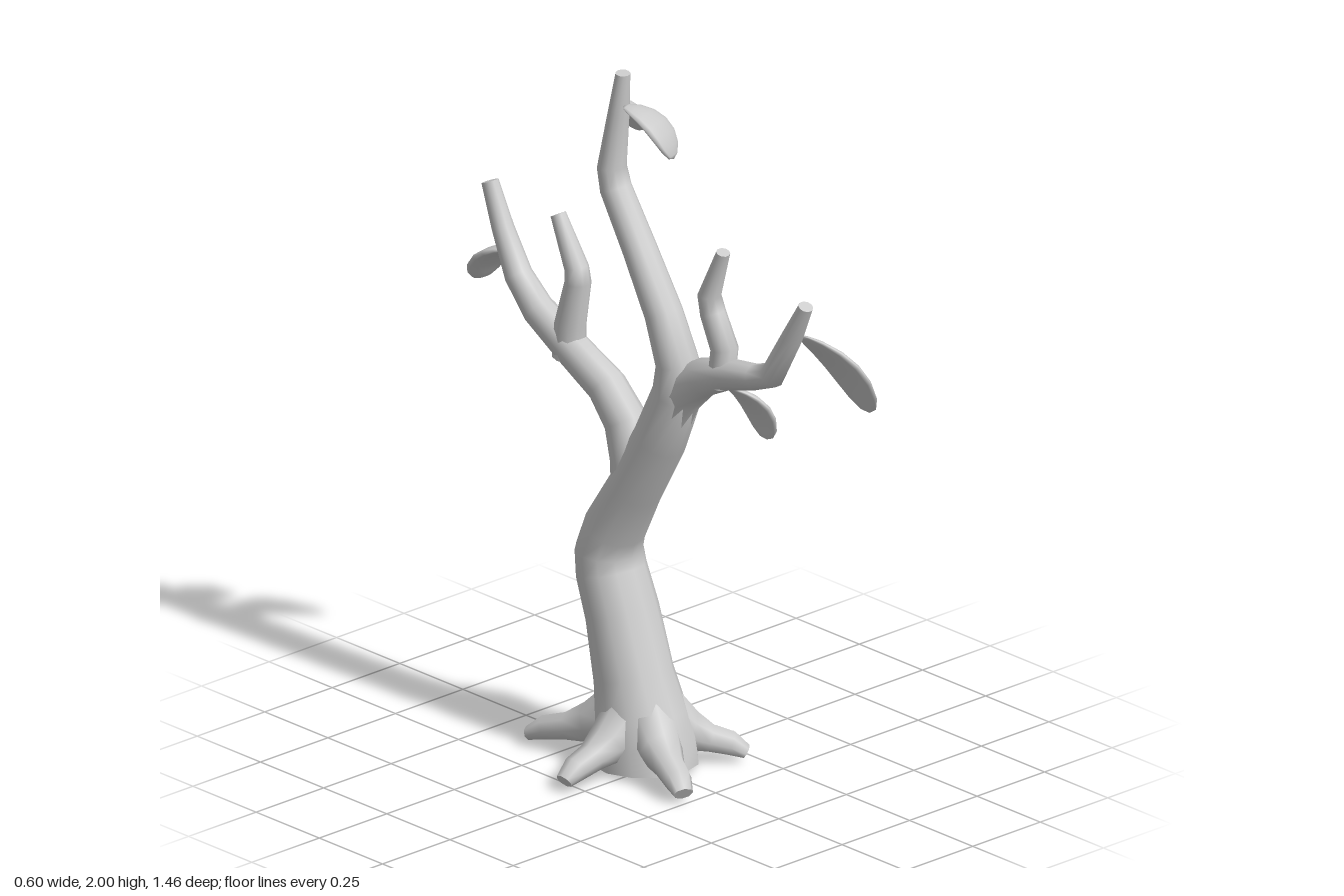
import * as THREE from 'three';
import { mergeVertices } from 'three/addons/utils/BufferGeometryUtils.js';

const material = new THREE.MeshStandardMaterial({ color: 0xcccccc });
const X = new THREE.Vector3(1, 0, 0);
const V = (a) => new THREE.Vector3(a[0], a[1], a[2]);

// Tapered limb through rings [x, y, z, radius along side, radius across], flat caps at both ends
function limb(name, rings, side, sides = 10) {
  const pos = [], index = [], centres = rings.map(V), last = rings.length - 1;
  const addRing = (i) => {
    const before = centres[i].clone().sub(centres[Math.max(i - 1, 0)]).normalize();
    const after = centres[Math.min(i + 1, last)].clone().sub(centres[i]).normalize();
    const t = before.add(after).normalize();
    const s = side.clone().addScaledVector(t, -side.dot(t)).normalize();
    const n = t.clone().cross(s);
    const [, , , rs, rn = rs] = rings[i];
    for (let j = 0; j < sides; j++) {
      const a = (j / sides) * Math.PI * 2;
      const p = centres[i].clone().addScaledVector(s, rs * Math.cos(a)).addScaledVector(n, rn * Math.sin(a));
      pos.push(p.x, p.y, p.z);
    }
  };
  for (let i = 0; i <= last; i++) addRing(i);
  for (let i = 0; i < last; i++) {
    for (let j = 0; j < sides; j++) {
      const a = i * sides + j, b = i * sides + ((j + 1) % sides);
      index.push(a, b, b + sides, a, b + sides, a + sides);
    }
  }
  for (const i of [0, last]) {
    const start = pos.length / 3;
    addRing(i);
    for (let j = 1; j < sides - 1; j++) {
      if (i === 0) index.push(start, start + j + 1, start + j);
      else index.push(start, start + j, start + j + 1);
    }
  }
  const g = new THREE.BufferGeometry();
  g.setAttribute('position', new THREE.Float32BufferAttribute(pos, 3));
  g.setIndex(index);
  g.computeVertexNormals();
  const mesh = new THREE.Mesh(g, material);
  mesh.name = name;
  return mesh;
}

// Thick, slightly arched leaf from stem end to tip
function leaf(name, base, tip, width, sideHint) {
  let g = new THREE.SphereGeometry(1, 12, 8);
  g.deleteAttribute('uv');
  g.deleteAttribute('normal');
  g = mergeVertices(g);
  const b = V(base), axis = V(tip).sub(b), d = axis.clone().normalize();
  const s = V(sideHint);
  s.addScaledVector(d, -s.dot(d)).normalize();
  const n = s.clone().cross(d);
  const bow = Math.sign(n.y) * 0.03;
  const p = g.attributes.position;
  for (let i = 0; i < p.count; i++) {
    const u = (p.getY(i) + 1) / 2;
    const w = p.getX(i) * (0.82 + 0.36 * u) * width / 2;
    const h = p.getZ(i) * 0.016 + bow * (4 * u * (1 - u) - 0.3);
    const v = b.clone().addScaledVector(axis, u).addScaledVector(s, w).addScaledVector(n, h);
    p.setXYZ(i, v.x, v.y, v.z);
  }
  g.computeVertexNormals();
  const mesh = new THREE.Mesh(g, material);
  mesh.name = name;
  return mesh;
}

export function createModel() {
  const tree = new THREE.Group();
  tree.name = 'tree';

  // Crooked trunk running up into the tallest branch
  tree.add(limb('trunk', [
    [0, 0.01, -0.03, 0.14, 0.16], [0, 0.08, -0.035, 0.14, 0.15], [0, 0.14, -0.045, 0.125, 0.135],
    [0, 0.25, -0.075, 0.112, 0.112], [0, 0.42, -0.12, 0.108, 0.094], [0, 0.53, -0.163, 0.103, 0.092],
    [0, 0.59, -0.172, 0.1, 0.088], [0, 0.66, -0.148, 0.093, 0.083], [0, 0.8, -0.067, 0.08, 0.074],
    [0, 0.97, 0.03, 0.073, 0.075], [0, 1.12, 0.097, 0.066, 0.072], [0, 1.21, 0.1, 0.06, 0.064],
    [0, 1.34, 0.045, 0.055, 0.052], [0, 1.5, -0.05, 0.05, 0.045], [0, 1.65, -0.145, 0.046, 0.042],
    [0, 1.71, -0.161, 0.043, 0.039], [0, 1.87, -0.135, 0.033, 0.028], [0, 1.995, -0.117, 0.022, 0.019],
  ], X, 12));

  // Main branches
  tree.add(limb('frontBranch', [
    [0, 1.02, 0.06, 0.06], [0, 1.13, 0.12, 0.058, 0.06], [0, 1.2, 0.2, 0.052, 0.055],
    [0, 1.24, 0.3, 0.046, 0.045], [0, 1.265, 0.41, 0.04, 0.036], [0, 1.29, 0.475, 0.038, 0.036],
    [0, 1.42, 0.55, 0.032, 0.03], [0, 1.53, 0.607, 0.022, 0.02],
  ], X));
  tree.add(limb('backBranch', [
    [0, 0.76, -0.08, 0.06, 0.055], [0, 0.88, -0.075, 0.066, 0.062], [0, 0.98, -0.105, 0.06, 0.062],
    [0, 1.06, -0.18, 0.055, 0.056], [0, 1.125, -0.31, 0.05, 0.052], [0, 1.2, -0.45, 0.045, 0.046],
    [0, 1.28, -0.53, 0.04, 0.038], [0, 1.4, -0.592, 0.032, 0.029], [0, 1.52, -0.643, 0.024, 0.024],
  ], X));

  // Side shoots
  tree.add(limb('frontShoot', [
    [0, 1.2, 0.27, 0.038], [0, 1.31, 0.285, 0.038, 0.04], [0, 1.4, 0.24, 0.036, 0.036],
    [0, 1.45, 0.225, 0.033, 0.033], [0, 1.59, 0.28, 0.021, 0.018],
  ], X));
  tree.add(limb('backShoot', [
    [0, 1.1, -0.33, 0.045, 0.05], [0, 1.2, -0.325, 0.043, 0.046], [0, 1.33, -0.295, 0.038, 0.036],
    [0, 1.37, -0.3, 0.034, 0.034], [0, 1.505, -0.373, 0.023, 0.02],
  ], X));

  // Roots spreading from the foot of the trunk: tip positions on the ground
  const foot = new THREE.Vector3(0, 0, -0.04);
  [[-0.29, -0.04], [-0.125, -0.355], [0.28, -0.215], [0.215, 0.14], [-0.115, 0.245]].forEach(([x, z], i) => {
    const out = new THREE.Vector3(x, 0, z).sub(foot);
    const at = (f, y, rs, rn) => [foot.x + out.x * f, y, foot.z + out.z * f, rs, rn];
    const side = new THREE.Vector3(out.z, 0, -out.x).normalize();
    tree.add(limb('root' + (i + 1), [
      at(0.2, 0.13, 0.075, 0.09), at(0.45, 0.09, 0.062, 0.06), at(0.65, 0.068, 0.045, 0.04),
      at(0.85, 0.052, 0.041, 0.035), at(1, 0.027, 0.028, 0.02),
    ], side, 8));
  });

  // Leaves: stem end, tip, width, direction of the width
  [
    ['frontLargeLeaf', [0.03, 1.43, 0.56], [0.19, 1.19, 0.665], 0.19, [0, 0, 1]],
    ['frontSmallLeaf', [0.05, 1.18, 0.26], [0.155, 1.01, 0.295], 0.135, [0, 0, 1]],
    ['backLargeLeaf', [0.03, 1.25, -0.535], [0.185, 1.01, -0.59], 0.155, [0, 0, 1]],
    ['backSmallLeaf', [0.02, 1.34, -0.585], [0.055, 1.2, -0.74], 0.13, [1, -0.2, 0]],
    ['topFrontLeaf', [0.0, 1.91, -0.105], [0.055, 1.78, 0.035], 0.15, [1, -0.5, 0]],
    ['topBackLeaf', [0.02, 1.89, -0.14], [0.15, 1.765, -0.235], 0.125, [0, 0, 1]],
  ].forEach((l) => tree.add(leaf(...l)));

  return tree;
}
